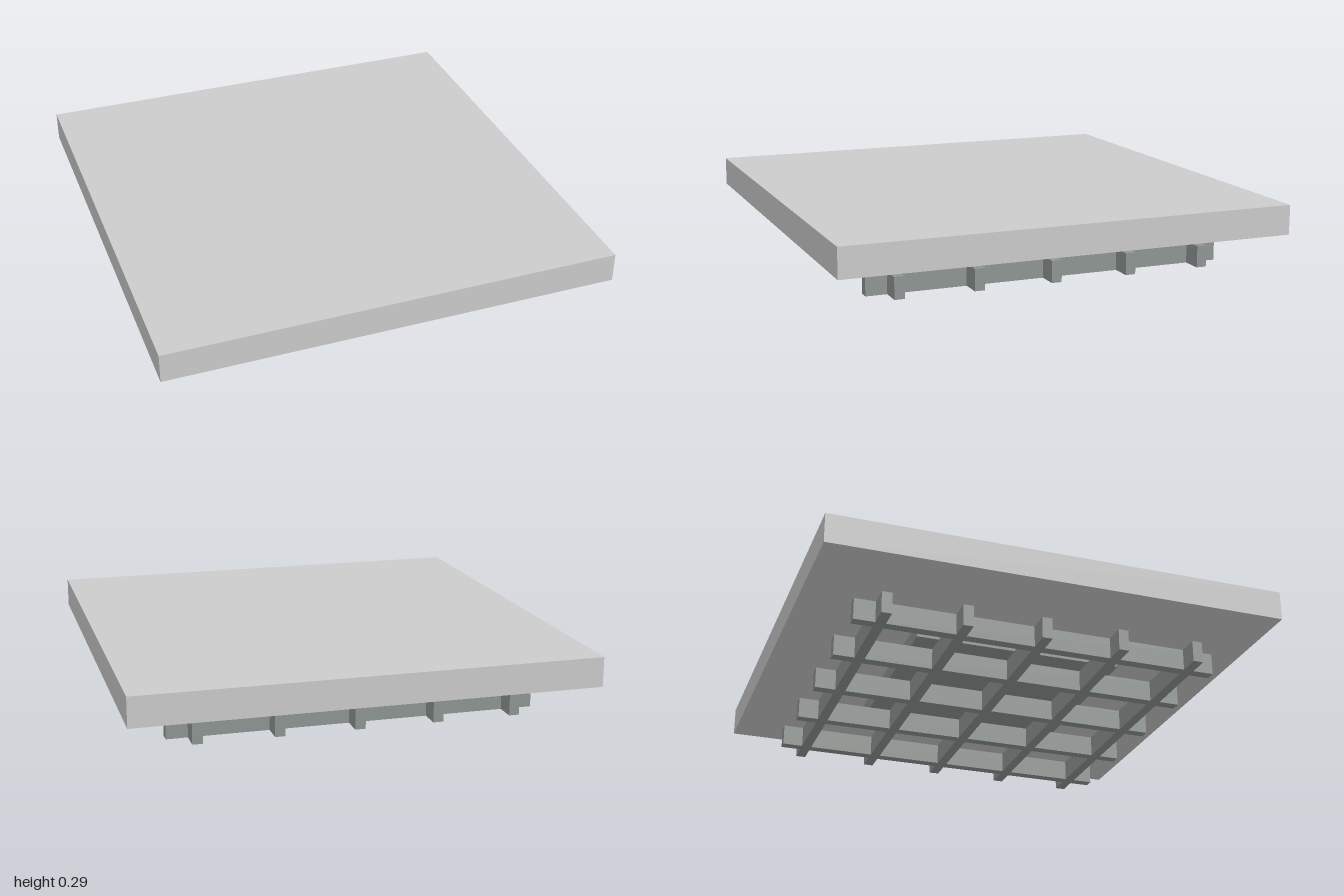
import * as THREE from 'three';

export function createModel() {
  const model = new THREE.Group();
  const slabMaterial = new THREE.MeshStandardMaterial({ color: 0xcccccc });
  const frameMaterial = new THREE.MeshStandardMaterial({ color: 0x8f9693 });

  // Box sitting on a given height
  function addBox(name, width, height, depth, x, bottom, z, material) {
    const mesh = new THREE.Mesh(new THREE.BoxGeometry(width, height, depth), material);
    mesh.name = name;
    mesh.position.set(x, bottom + height / 2, z);
    model.add(mesh);
  }

  // Square top slab and the smaller block carrying it
  addBox('topSlab', 2, 0.13, 2, 0, 0.16, 0, slabMaterial);
  addBox('supportBlock', 0.93, 0.065, 0.93, 0, 0.095, 0, frameMaterial);

  // Lattice of five bars each way
  const barLength = 1.61, barHeight = 0.095, barWidth = 0.045, spacing = 0.345;
  for (let i = -2; i <= 2; i++) {
    addBox('lengthwiseBar', barWidth, barHeight, barLength, i * spacing, 0, 0, frameMaterial);
    addBox('crosswiseBar', barLength, barHeight, barWidth, 0, 0, i * spacing, frameMaterial);
  }

  return model;
}
